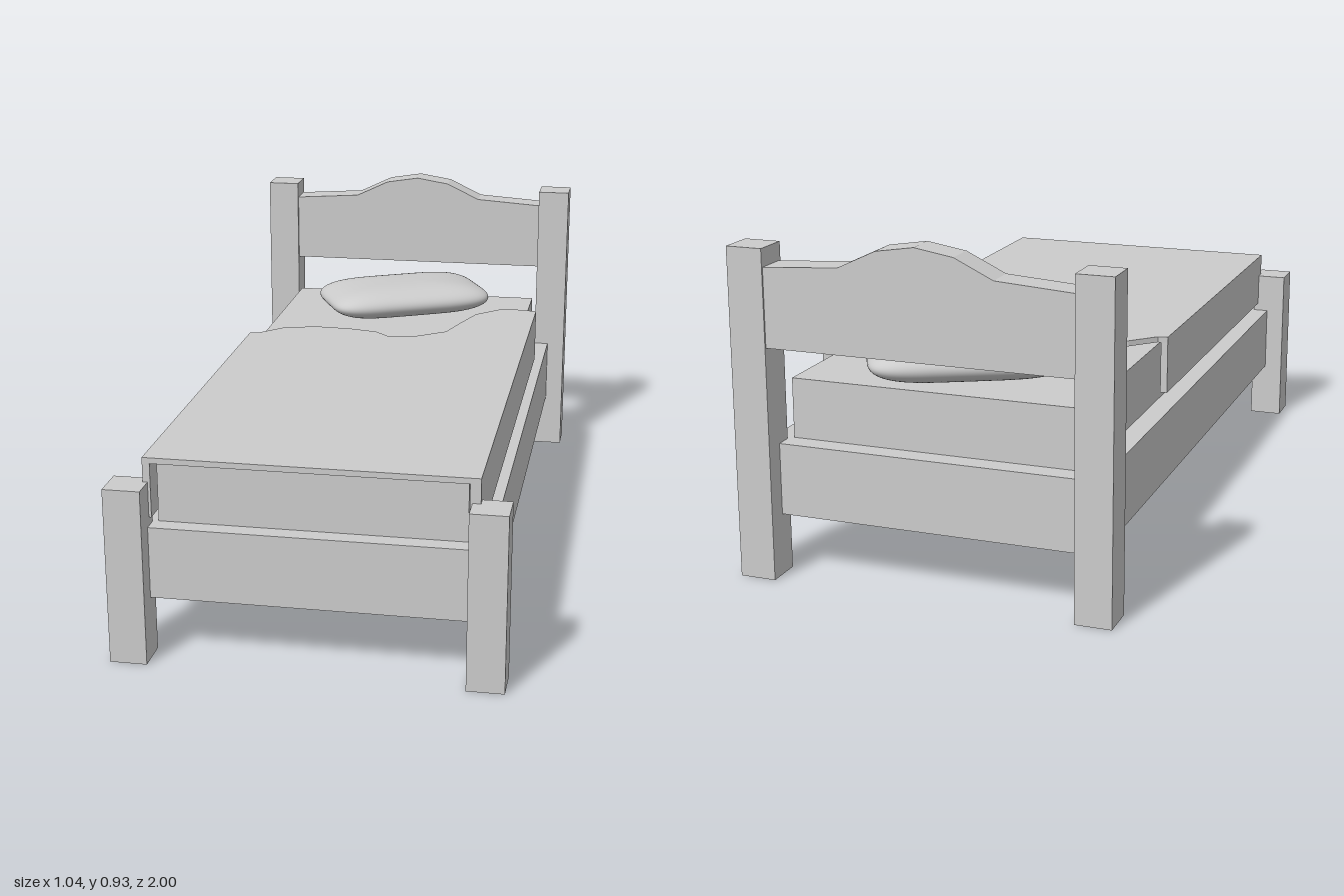
import * as THREE from 'three';

const material = new THREE.MeshStandardMaterial({ color: 0xcccccc });

export function createModel() {
  const bed = new THREE.Group();
  bed.name = 'bed';

  const add = (name, geometry) => {
    const mesh = new THREE.Mesh(geometry, material);
    mesh.name = name;
    bed.add(mesh);
    return mesh;
  };

  // Box given by its lower and upper limits on each axis
  const box = (name, [x0, x1], [y0, y1], [z0, z1]) =>
    add(name, new THREE.BoxGeometry(x1 - x0, y1 - y0, z1 - z0))
      .position.set((x0 + x1) / 2, (y0 + y1) / 2, (z0 + z1) / 2);

  const slab = (points, depth) => new THREE.ExtrudeGeometry(
    new THREE.Shape(points.map(([x, y]) => new THREE.Vector2(x, y))),
    { depth, bevelEnabled: false });

  // Corner posts
  for (const [side, x] of [['left', 0.42], ['right', -0.52]]) {
    box(side + 'HeadPost', [x, x + 0.1], [0, 0.9], [-1, -0.9]);
    box(side + 'FootPost', [x, x + 0.1], [0, 0.485], [0.9, 1]);
  }

  // Bed base and mattress
  box('base', [-0.465, 0.465], [0.168, 0.365], [-0.945, 0.945]);
  box('mattress', [-0.405, 0.408], [0.365, 0.53], [-0.885, 0.895]);

  // Headboard with a stepped crest, mirrored about the middle
  const crest = [[0.43, 0.85], [0.21, 0.865], [0.105, 0.915]];
  const headboard = add('headboard', slab([
    [-0.43, 0.638], [0.43, 0.638], ...crest, [0, 0.932],
    ...crest.map(([x, y]) => [-x, y]).reverse(),
  ], 0.085));
  headboard.position.z = -0.995;

  // Blanket: top sheet with a wavy, turned-back edge, and two hanging sides
  const edge = [
    [-0.433, -0.23], [-0.405, -0.235], [-0.34, -0.305], [-0.24, -0.335],
    [-0.13, -0.33], [-0.04, -0.31], [0.01, -0.262], [0.09, -0.28],
    [0.18, -0.35], [0.21, -0.45], [0.25, -0.57], [0.32, -0.64],
    [0.37, -0.65], [0.442, -0.64],
  ];
  const sheet = slab([...edge, [0.442, 0.93], [-0.433, 0.93]], 0.016);
  sheet.rotateX(Math.PI / 2);
  add('blanketTop', sheet).position.y = 0.552;
  box('blanketLeftSide', [0.414, 0.442], [0.388, 0.537], [-0.64, 0.93]);
  box('blanketRightSide', [-0.433, -0.413], [0.388, 0.537], [-0.23, 0.93]);

  // Pillow: sphere squared off in plan and flattened above and below
  const pillowGeometry = new THREE.SphereGeometry(1, 64, 32);
  const p = pillowGeometry.attributes.position;
  const power = (v, e) => Math.sign(v) * Math.abs(v) ** e;
  for (let i = 0; i < p.count; i++) {
    const y = p.getY(i);
    const r = Math.sqrt(Math.max(0, 1 - y * y));
    const angle = Math.atan2(p.getZ(i), p.getX(i));
    const spread = r ** 0.7;
    p.setXYZ(i,
      0.27 * spread * power(Math.cos(angle), 0.4),
      0.053 * y,
      0.165 * spread * power(Math.sin(angle), 0.4));
  }
  pillowGeometry.computeVertexNormals();
  const pillow = add('pillow', pillowGeometry);
  pillow.position.set(-0.008, 0.579, -0.675);
  pillow.rotation.y = THREE.MathUtils.degToRad(27);

  return bed;
}
